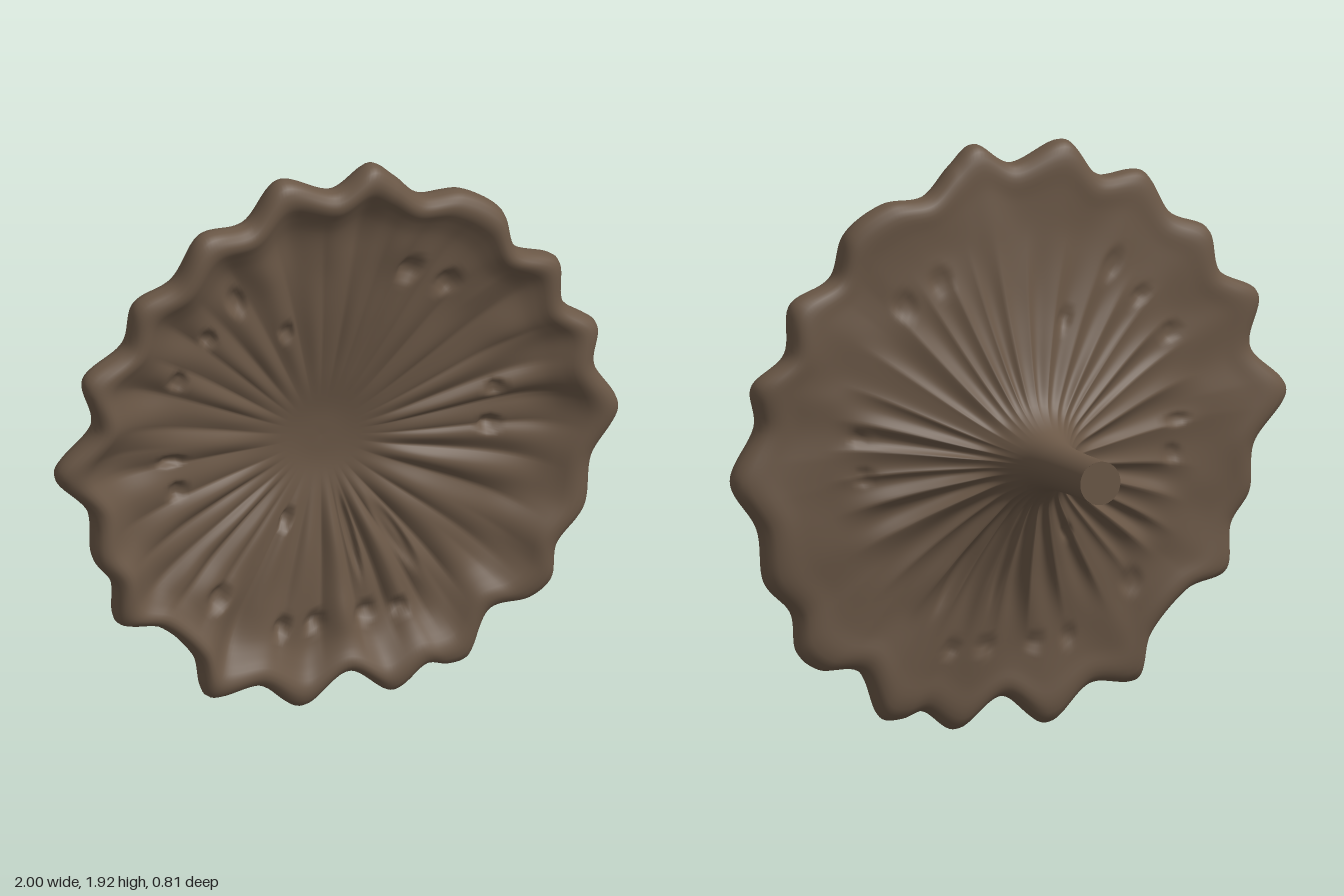
import * as THREE from 'three';

const V = (x, y, z = 0) => new THREE.Vector3(x, y, z);
const step = THREE.MathUtils.smoothstep;
const lerp = THREE.MathUtils.lerp;
const curve = (a, closed) => new THREE.CatmullRomCurve3(a.map(([x, y]) => V(x, y)), closed);

// Scalloped rim, clockwise from the top (x, y)
const RIM = [
  [0, 1.85], [0.13, 1.92], [0.21, 1.86], [0.31, 1.765], [0.46, 1.75], [0.59, 1.66], [0.635, 1.52],
  [0.79, 1.44], [0.81, 1.28], [0.925, 1.18], [0.91, 1.05], [1, 0.87], [0.91, 0.71], [0.88, 0.53],
  [0.78, 0.42], [0.76, 0.29], [0.69, 0.235], [0.55, 0.22], [0.47, 0.06], [0.4, 0.05], [0.32, 0.07],
  [0.2, 0], [0.04, 0.1], [-0.12, 0], [-0.28, 0.115], [-0.46, 0.115], [-0.5, 0.26], [-0.63, 0.4],
  [-0.78, 0.45], [-0.8, 0.6], [-0.865, 0.7], [-0.875, 0.86], [-1, 1.03], [-0.87, 1.18], [-0.9, 1.35],
  [-0.75, 1.44], [-0.71, 1.58], [-0.58, 1.64], [-0.48, 1.785], [-0.31, 1.79], [-0.19, 1.915],
];

// Cross-section (share of rim radius, z): dished front, rounded rim, flared back, stem
const SECTION = [
  [0, 0.19], [0.1, 0.194], [0.25, 0.22], [0.45, 0.253], [0.65, 0.275], [0.8, 0.295], [0.87, 0.322],
  [0.93, 0.35], [0.98, 0.338], [1, 0.298], [0.985, 0.258], [0.94, 0.24], [0.85, 0.24], [0.7, 0.232],
  [0.5, 0.205], [0.38, 0.177], [0.27, 0.143], [0.18, 0.1], [0.13, 0.05], [0.1, 0], [0.083, -0.08],
  [0.076, -0.2], [0.076, -0.41],
];

// Small pits (x, y, radial length, width)
const PITS = [
  [0.28, 1.49, 0.04, 0.04], [0.41, 1.42, 0.04, 0.04], [-0.15, 1.34, 0.03, 0.025], [-0.34, 1.5, 0.05, 0.03],
  [-0.44, 1.39, 0.03, 0.025], [-0.55, 1.26, 0.03, 0.03], [-0.57, 0.97, 0.04, 0.02], [-0.55, 0.86, 0.03, 0.03],
  [0.58, 1, 0.025, 0.025], [0.56, 0.87, 0.03, 0.03], [-0.41, 0.45, 0.04, 0.04], [-0.18, 0.29, 0.03, 0.03],
  [-0.06, 0.28, 0.025, 0.035], [0.12, 0.28, 0.025, 0.04], [0.24, 0.28, 0.025, 0.03], [0.23, 0.53, 0.13, 0.025],
  [-0.14, 0.65, 0.03, 0.02], [0.08, 0.55, 0.13, 0.015],
];

// Uneven radial pleats, sharper on the valley side
function pleat(a) {
  const p = Math.abs(Math.sin(17 * a + 0.8 * Math.sin(5 * a))) - 0.64;
  return p + 0.35 * Math.sin(21 * a + 2 * Math.sin(3 * a));
}

function pits(x, y) {
  let d = 0;
  for (const [px, py, len, wide] of PITS) {
    const dx = px, dy = py - 0.93, r = Math.hypot(dx, dy);
    const u = ((x - px) * dx + (y - py) * dy) / r / len;
    const v = ((x - px) * dy - (y - py) * dx) / r / wide;
    const q = u * u + v * v;
    if (q < 6) d += Math.exp(-q * q);
  }
  return d;
}

function bodyGeometry() {
  const N = 480;
  const rim = curve(RIM, true).getSpacedPoints(N).slice(0, N);
  const section = curve(SECTION, false).getSpacedPoints(110);
  const edge = section.reduce((best, p, i) => (p.x > section[best].x ? i : best), 0);
  const pos = [], idx = [];
  section.forEach(({ x: t, y: z0 }, i) => {
    const front = i < edge;
    // pleats leave the dish centre smooth in front, and the outer band smooth behind
    const fold = front
      ? 0.014 * step(t, 0.14, 0.45) * (1 - step(t, 0.68, 0.92))
      : 0.016 * step(t, 0.09, 0.3) * (1 - step(t, 0.5, 0.75));
    rim.forEach((p, j) => {
      const R = Math.hypot(p.x, p.y - 0.96);
      const a = Math.atan2(p.y - 0.96, p.x);
      const r = t * lerp(0.94, R, t ** 3);
      const x = Math.cos(a) * r;
      const y = lerp(0.91, 0.96, step(t, 0.05, 0.7)) + Math.sin(a) * r;
      let z = z0 + pleat(a) * fold * (1 - 0.45 * Math.sin(a));
      // left side leans forward, with a gentle swell along the rim
      z += (0.02 * x * x - 0.035 * x) * step(t, 0.1, 0.6);
      z += 0.01 * Math.sin(9 * a + 1) * step(t, 0.7, 0.95);
      // scooped hollows behind each lobe
      const lobe = THREE.MathUtils.clamp((R - 0.92) / 0.06, -1, 1);
      z -= (front ? 0.016 : 0.004) * lobe * Math.exp(-(((t - 0.76) / 0.12) ** 2));
      if (t > 0.15) z += (front ? -0.025 : 0.012) * pits(x, y);
      pos.push(x, y, z);
      if (i < section.length - 1) {
        const k = (j + 1) % N, b = i * N, c = b + N;
        if (i > 0) idx.push(b + j, b + k, c + k);
        idx.push(b + j, c + k, c + j);
      }
    });
  });
  const g = new THREE.BufferGeometry();
  g.setAttribute('position', new THREE.Float32BufferAttribute(pos, 3));
  g.setIndex(idx);
  g.computeVertexNormals();
  return g;
}

export function createModel() {
  const group = new THREE.Group();
  group.name = 'scallopedDish';
  const brown = new THREE.MeshStandardMaterial({ color: 0x6a5746 });
  brown.name = 'earthBrown';

  // Pleated dish flowing into its stem
  const dish = new THREE.Mesh(bodyGeometry(), brown);
  dish.name = 'dishAndStem';
  group.add(dish);

  // Flat end of the stem
  const cap = new THREE.Mesh(new THREE.CircleGeometry(0.0715, 48), brown);
  cap.name = 'stemEnd';
  cap.position.set(0, 0.91, -0.41);
  cap.rotation.y = Math.PI;
  group.add(cap);
  return group;
}
